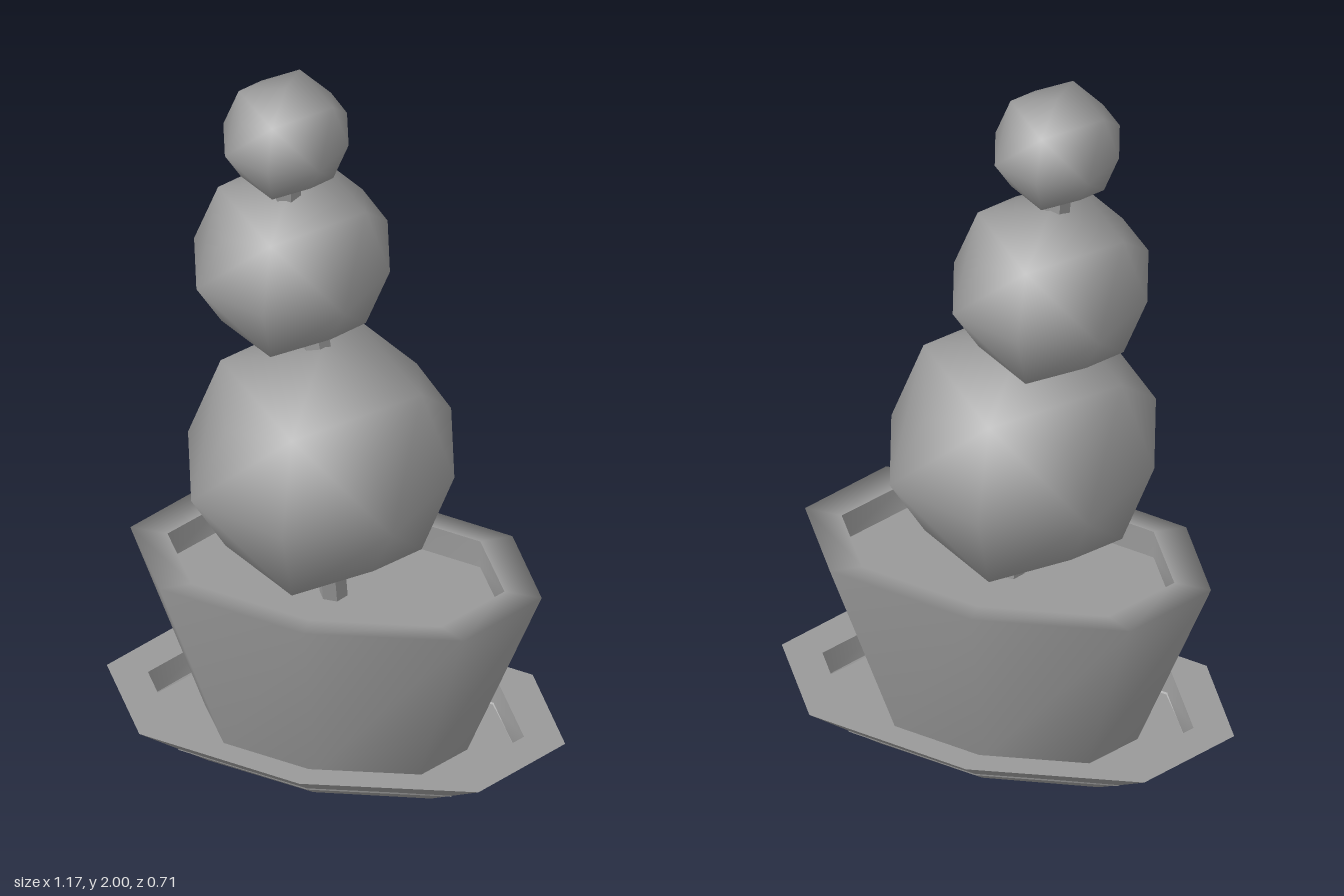
import * as THREE from 'three';
import { mergeVertices } from 'three/addons/utils/BufferGeometryUtils.js';
import { ConvexGeometry } from 'three/addons/geometries/ConvexGeometry.js';

const material = new THREE.MeshStandardMaterial({ color: 0x999999, side: THREE.DoubleSide });

function addMesh(group, name, geometry, x = 0, y = 0, z = 0) {
  const mesh = new THREE.Mesh(geometry, material);
  mesh.name = name;
  mesh.position.set(x, y, z);
  group.add(mesh);
}

// Stretched eight-sided vessel from [halfWidth, halfDepth, y, smooth] rings.
// Bands are smooth around; a ring marked smooth also blends the bands it joins.
function vessel(profile) {
  const positions = [], indices = [];
  const addRing = ([w, d, y]) => {
    const start = positions.length / 3;
    for (let k = 0; k < 8; k++) {
      const a = k * Math.PI / 4, s = k % 2 ? 0.74 / Math.SQRT1_2 : 1;
      positions.push(Math.cos(a) * w * s, y, Math.sin(a) * d * s);
    }
    return start;
  };
  let lower = addRing(profile[0]);
  for (let i = 1; i < profile.length; i++) {
    const upper = addRing(profile[i]);
    for (let k = 0; k < 8; k++) {
      const n = (k + 1) % 8;
      indices.push(lower + k, upper + k, lower + n, lower + n, upper + k, upper + n);
    }
    lower = profile[i][3] ? upper : addRing(profile[i]);
  }
  const geometry = new THREE.BufferGeometry();
  geometry.setAttribute('position', new THREE.Float32BufferAttribute(positions, 3));
  geometry.setIndex(indices);
  geometry.computeVertexNormals();
  return geometry;
}

// Cube subdivided once and rounded: face centres, edge middles and corners
// are each pulled in by their own factor.
function foliageBall(rx, ry, rz) {
  const factors = [0, 1, 0.755, 5 / 9], steps = [-1, 0, 1], points = [];
  for (const x of steps) for (const y of steps) for (const z of steps) {
    const f = factors[Math.abs(x) + Math.abs(y) + Math.abs(z)];
    if (f) points.push(new THREE.Vector3(x * f * rx, y * f * ry, z * f * rz));
  }
  let geometry = new ConvexGeometry(points);
  geometry.deleteAttribute('normal');
  geometry = mergeVertices(geometry);
  geometry.computeVertexNormals();
  return geometry;
}

// Crooked six-sided stem with flat faces
function stem() {
  const path = new THREE.CatmullRomCurve3([
    [0, 0.45, 0.005], [-0.005, 0.6, 0.02], [-0.03, 0.95, -0.02], [-0.065, 1.22, -0.055],
    [-0.125, 1.45, -0.05], [-0.13, 1.7, -0.025], [-0.13, 1.85, -0.01],
  ].map((c) => new THREE.Vector3(...c)));
  const geometry = new THREE.TubeGeometry(path, 14, 0.036, 6).toNonIndexed();
  geometry.computeVertexNormals();
  return geometry;
}

export function createModel() {
  const model = new THREE.Group();
  model.name = 'topiaryInPot';

  // Saucer with recessed floor
  addMesh(model, 'saucer', vessel([
    [0, 0, 0], [0.385, 0.205, 0], [0.585, 0.332, 0.12],
    [0.48, 0.27, 0.12], [0.47, 0.262, 0.05], [0, 0, 0.05],
  ]), 0, 0, -0.01);

  // Pot wall, softened rim and upright inner wall
  addMesh(model, 'pot', vessel([
    [0.335, 0.185, 0.05], [0.525, 0.297, 0.56, true],
    [0.43, 0.24, 0.56], [0.43, 0.24, 0.48],
  ]), 0, 0, -0.01);

  // Soil surface
  addMesh(model, 'soil', vessel([[0.43, 0.24, 0.48], [0, 0, 0.48]]), 0, 0, -0.01);

  addMesh(model, 'stem', stem());

  // Three foliage balls: centre, then half sizes
  [
    ['lowerFoliage', [-0.035, 0.895, 0], [0.34, 0.317, 0.353]],
    ['middleFoliage', [-0.125, 1.455, -0.055], [0.25, 0.227, 0.26]],
    ['upperFoliage', [-0.13, 1.855, -0.018], [0.16, 0.145, 0.165]],
  ].forEach(([name, centre, size]) => addMesh(model, name, foliageBall(...size), ...centre));

  return model;
}
